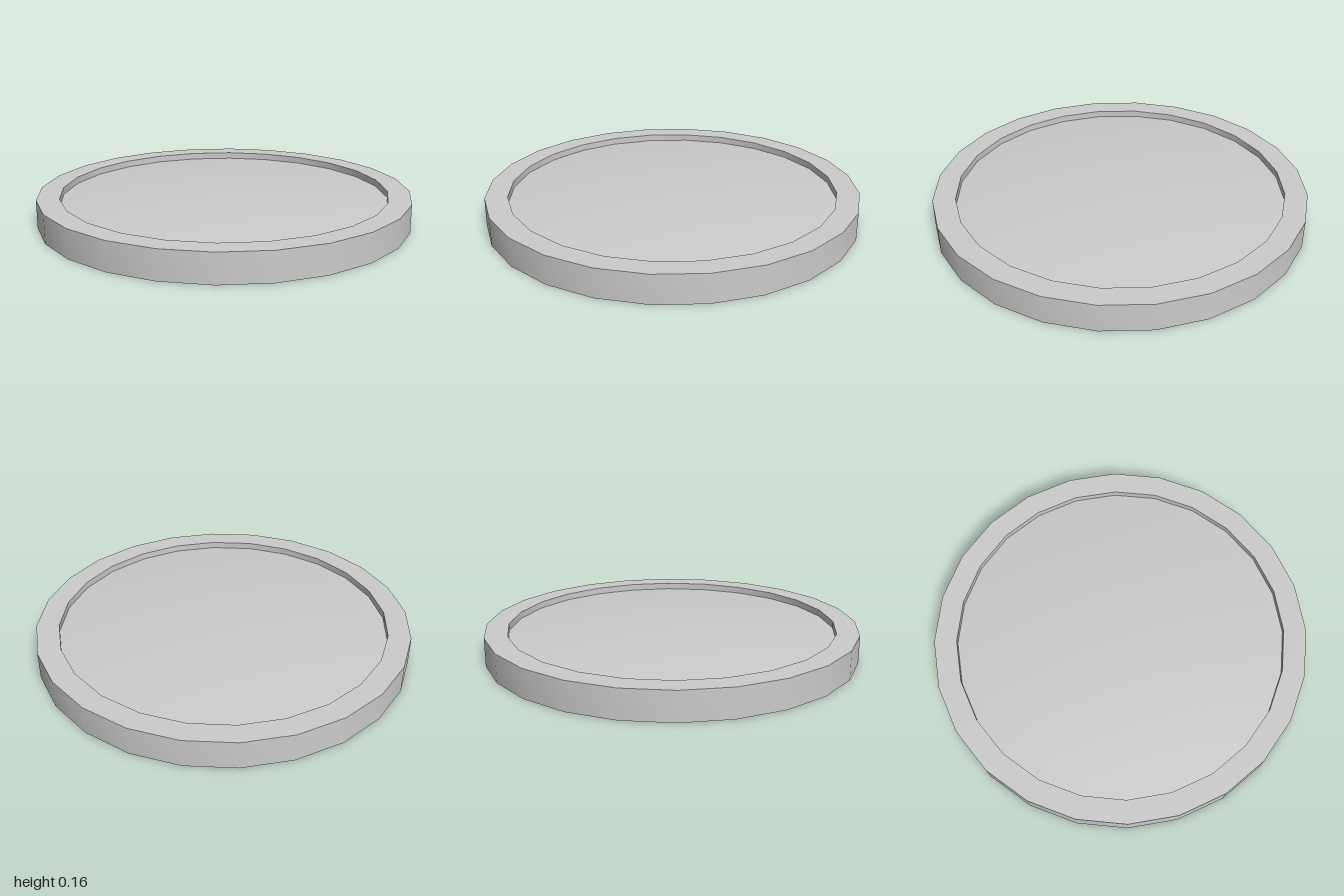
import * as THREE from 'three';
import { toCreasedNormals } from 'three/addons/utils/BufferGeometryUtils.js';

const SIDES = 24;
const RIM_TOP = 0.152, INNER = 0.88, UNDER = 0.05;

export function createModel() {
  const group = new THREE.Group();
  const material = new THREE.MeshStandardMaterial({ color: 0xcccccc, side: THREE.DoubleSide });

  const addTurned = (name, profile, sides = SIDES) => {
    const points = profile.map(([r, y]) => new THREE.Vector2(r, y));
    const geometry = toCreasedNormals(new THREE.LatheGeometry(points, sides), 0.6);
    const mesh = new THREE.Mesh(geometry, material);
    mesh.name = name;
    group.add(mesh);
  };

  // Hollow rim: outer wall, flat top, inner wall; open underneath
  addTurned('rim', [[1, 0], [1, RIM_TOP], [INNER, RIM_TOP], [INNER, UNDER]]);

  // Slightly domed face recessed inside the rim
  const dome = [];
  for (let i = 8; i >= 0; i--) {
    const r = (INNER * i) / 8;
    dome.push([r, 0.162 - 0.06 * r * r]);
  }
  addTurned('domedFace', dome);

  // Flat underside of the face
  addTurned('underside', [[0, UNDER], [INNER, UNDER]]);

  // Small hollow pin below the centre
  addTurned('centrePin', [[0.018, 0], [0.018, UNDER]], 12);

  return group;
}
